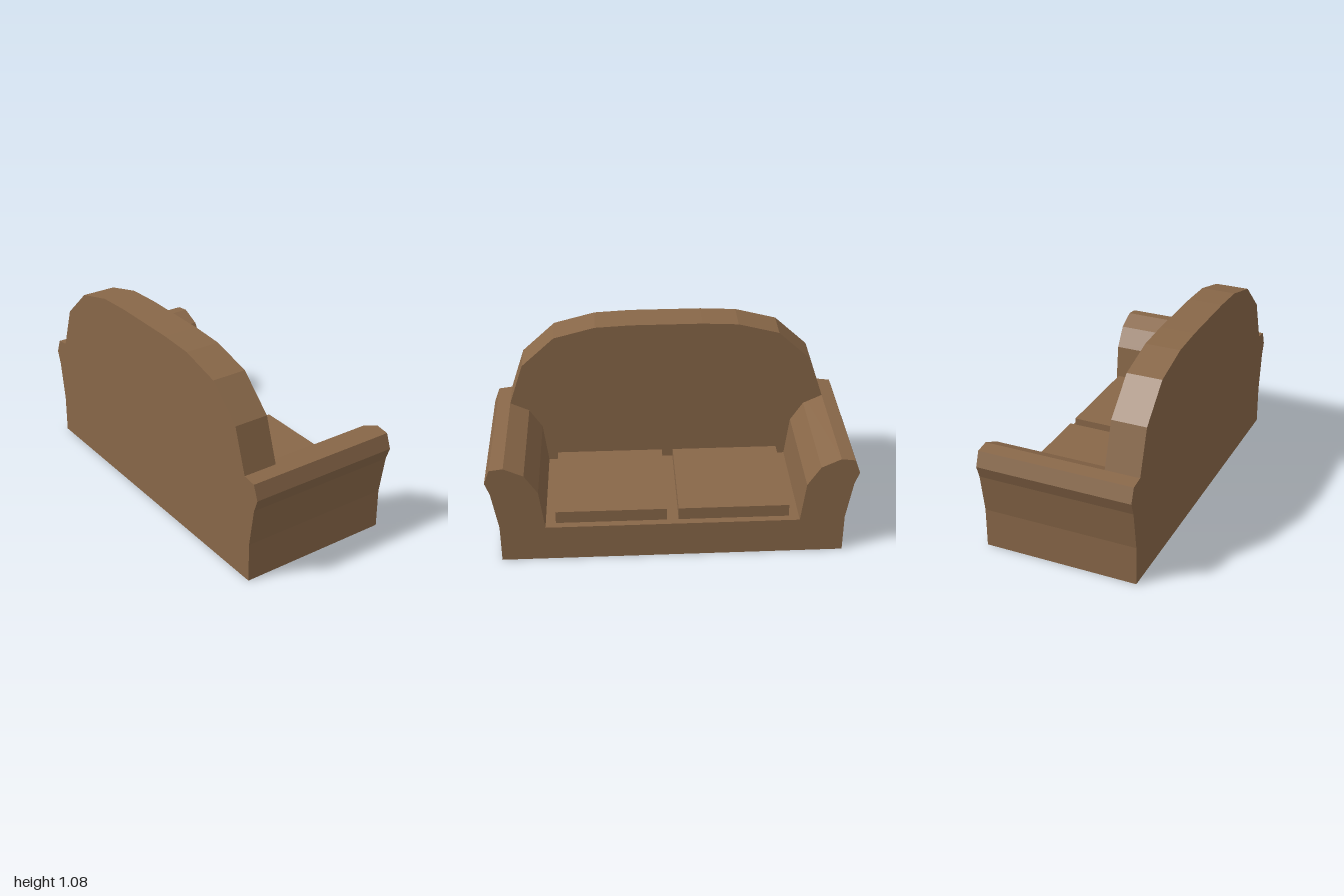
import * as THREE from 'three';

// Turns half an outline (z, y), listed from one end to the other, into a mirrored solid along x
function mirroredSolid(name, half, x0, x1, material) {
  const points = [
    ...half.map(([z, y]) => new THREE.Vector2(z, y)),
    ...[...half].reverse().map(([z, y]) => new THREE.Vector2(-z, y)),
  ];
  const geometry = new THREE.ExtrudeGeometry(new THREE.Shape(points), {
    depth: x1 - x0,
    bevelEnabled: false,
  });
  geometry.rotateY(Math.PI / 2).translate(x0, 0, 0);
  const mesh = new THREE.Mesh(geometry, material);
  mesh.name = name;
  return mesh;
}

export function createModel() {
  const sofa = new THREE.Group();
  sofa.name = 'sofa';

  const brown = new THREE.MeshStandardMaterial({ color: 0x886748, flatShading: true });
  brown.name = 'brown upholstery';

  // Inner side of an arm, from its crest down to the seat
  const armInside = [[0.895, 0.6], [0.79, 0.55], [0.72, 0.44], [0.693, 0.21]];

  // Base and both rolled arms
  const armOutside = [[0.94, 0], [0.94, 0.22], [0.975, 0.44], [1, 0.51], [0.97, 0.59]];
  sofa.add(mirroredSolid('baseAndArms', [...armOutside, ...armInside], -0.43, 0.43, brown));

  // Arched backrest, fitted between the arms
  const arch = [[0.815, 0.84], [0.63, 1.01], [0.4, 1.07], [0.2, 1.08]];
  sofa.add(mirroredSolid('backrest', [...[...armInside].reverse(), ...arch], -0.43, -0.24, brown));

  // Seat cushions
  for (const [name, side] of [['leftCushion', -1], ['rightCushion', 1]]) {
    const cushion = new THREE.Mesh(new THREE.BoxGeometry(0.59, 0.072, 0.606), brown);
    cushion.name = name;
    cushion.position.set(0.095, 0.246, side * 0.335);
    sofa.add(cushion);
  }

  return sofa;
}
